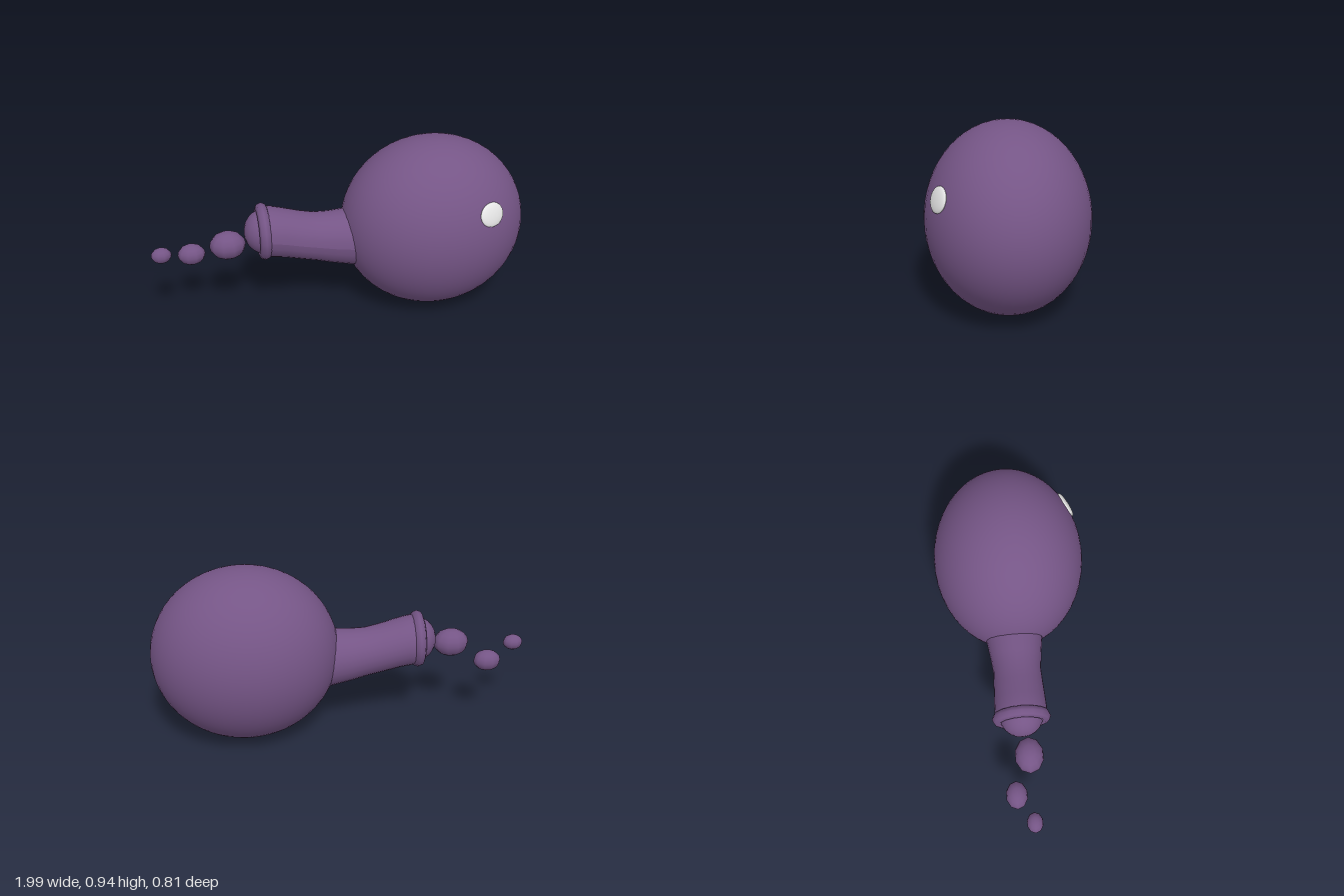
import * as THREE from 'three';

export function createModel() {
  const group = new THREE.Group();
  const purple = new THREE.MeshStandardMaterial({ color: 0x755586 });
  purple.name = 'purple skin';
  const white = new THREE.MeshStandardMaterial({ color: 0xe6e6e6 });
  white.name = 'eye white';

  const add = (name, geometry, material, position = [0, 0, 0]) => {
    const mesh = new THREE.Mesh(geometry, material);
    mesh.name = name;
    mesh.position.set(...position);
    group.add(mesh);
    return mesh;
  };
  const ellipsoid = (name, material, position, radii, w, h) => {
    const mesh = add(name, new THREE.SphereGeometry(1, w, h), material, position);
    mesh.scale.set(...radii);
    return mesh;
  };

  // Egg-like body
  ellipsoid('body', purple, [0.5, 0.473, 0], [0.493, 0.47, 0.405], 48, 32);

  // Snout: cylinder whose rings follow stations of [x, centre y, radius y, radius z]
  const stations = [
    [-0.40, 0.504, 0.135, 0.136],
    [-0.36, 0.498, 0.135, 0.136],
    [-0.31, 0.487, 0.133, 0.134],
    [-0.22, 0.462, 0.131, 0.130],
    [-0.14, 0.443, 0.132, 0.127],
    [-0.06, 0.430, 0.141, 0.136],
    [0.04, 0.421, 0.154, 0.150],
    [0.14, 0.410, 0.160, 0.160],
  ];
  const last = stations.length - 1;
  const snout = new THREE.CylinderGeometry(1, 1, last, 24, last);
  snout.rotateZ(-Math.PI / 2);
  const p = snout.attributes.position;
  for (let i = 0; i < p.count; i++) {
    const [x, cy, ry, rz] = stations[Math.round(p.getX(i) + last / 2)];
    p.setXYZ(i, x, cy + p.getY(i) * ry, p.getZ(i) * rz);
  }
  snout.computeVertexNormals();
  add('snout', snout, purple);

  // Rim and rounded tip of the snout
  const rim = new THREE.TorusGeometry(0.12, 0.032, 8, 16);
  rim.rotateY(Math.PI / 2);
  add('snoutRim', rim, purple, [-0.415, 0.506, 0]);
  ellipsoid('snoutTip', purple, [-0.41, 0.506, 0], [0.105, 0.118, 0.112], 20, 14);

  // Droplets trailing from the tip
  [
    [[-0.605, 0.462, 0.025], [0.095, 0.076, 0.076]],
    [[-0.79, 0.384, -0.053], [0.073, 0.057, 0.057]],
    [[-0.947, 0.444, 0.026], [0.053, 0.042, 0.042]],
  ].forEach(([pos, radii], i) => ellipsoid('droplet' + (i + 1), purple, pos, radii, 10, 8));

  // Single eye, lying flat against the body
  const eye = ellipsoid('eye', white, [0.714, 0.648, 0.33], [0.075, 0.063, 0.016], 20, 14);
  eye.lookAt(0.714 + 0.878, 0.648 + 0.79, 0.33 + 2.02);

  return group;
}
